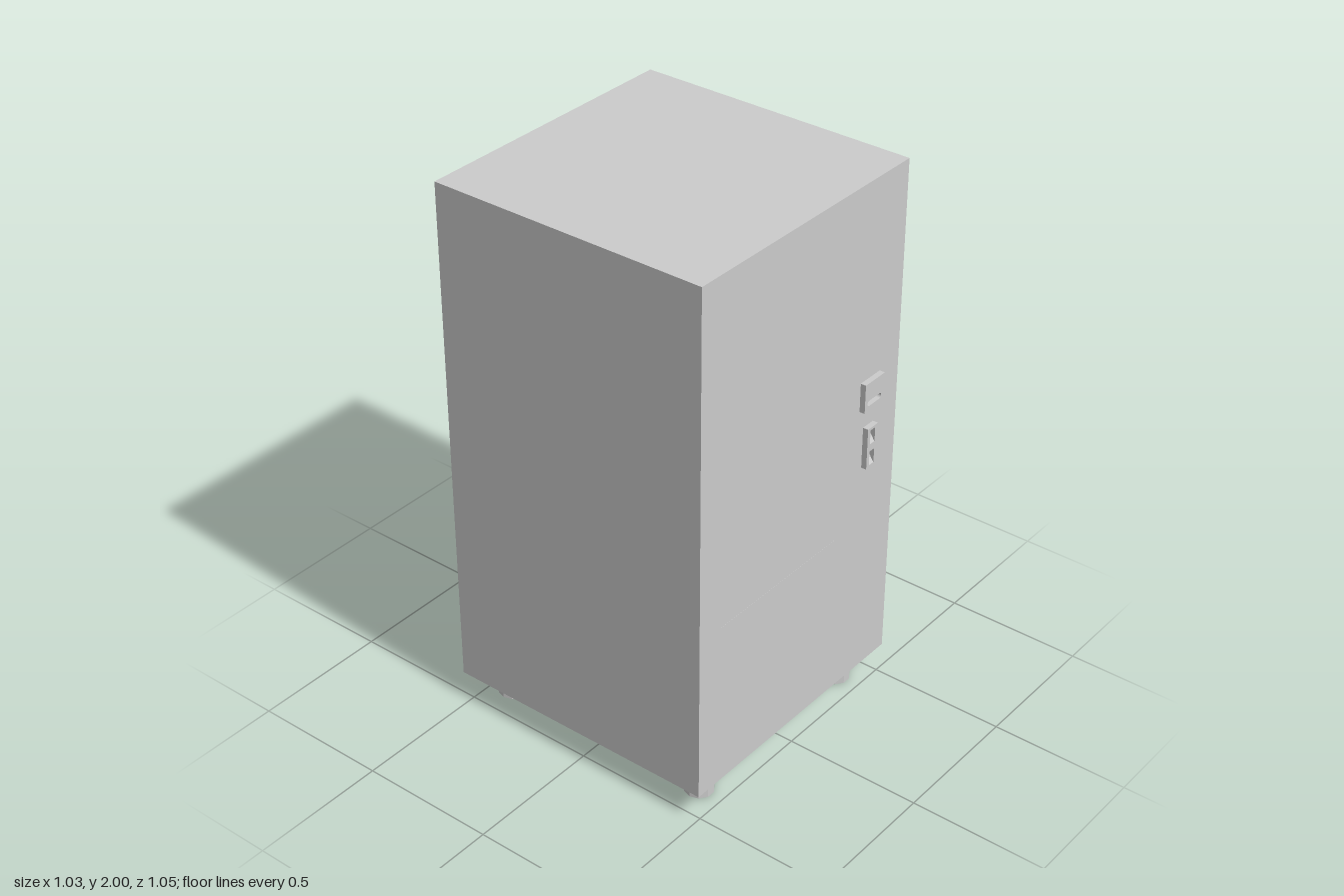
import * as THREE from 'three';

const material = new THREE.MeshStandardMaterial({ color: 0xcccccc, flatShading: true, side: THREE.DoubleSide });
const FRONT = 0.507, PLATE = 0.02;

function add(parent, name, geometry, x, y, z) {
  const mesh = new THREE.Mesh(geometry, material);
  mesh.name = name;
  mesh.position.set(x, y, z);
  parent.add(mesh);
  return mesh;
}

function rectangle(Type, w, h, y = 0) {
  return new Type([[-w, -h], [w, -h], [w, h], [-w, h]].map(([a, b]) => new THREE.Vector2(a / 2, y + b / 2)));
}

// Long slot with round ends
function roundedSlot(w, h, y) {
  const r = h / 2, c = w / 2 - r;
  const path = new THREE.Path();
  path.absarc(c, y, r, -Math.PI / 2, Math.PI / 2);
  path.absarc(-c, y, r, Math.PI / 2, Math.PI * 1.5);
  path.closePath();
  return path;
}

function plate(w, h, holes) {
  const shape = rectangle(THREE.Shape, w, h);
  shape.holes.push(...holes);
  return new THREE.ExtrudeGeometry(shape, { depth: PLATE, bevelEnabled: false, curveSegments: 6 });
}

export function createModel() {
  const model = new THREE.Group();
  model.name = 'cabinet';

  // Main cabinet
  add(model, 'body', new THREE.BoxGeometry(1.034, 1.893, 1.034), 0, 1.0535, -0.01);

  // Fine seam across the lower front
  add(model, 'frontSeam', new THREE.BoxGeometry(0.61, 0.002, 0.001), -0.105, 0.73, FRONT);

  // Four faceted feet
  for (const x of [-0.384, 0.384]) {
    for (const z of [-0.421, 0.405]) {
      const leg = new THREE.CylinderGeometry(0.052, 0.052, 0.107, 10);
      leg.rotateY(Math.PI / 2);
      add(model, 'leg', leg, x, 0.0535, z);
    }
  }

  // Upper plate with a wide rounded slot
  add(model, 'slotPlate', plate(0.105, 0.107, [roundedSlot(0.076, 0.02, -0.024)]), 0.36, 1.228, FRONT);

  // Lower plate with two windows, each closed by a V-shaped notch
  const panel = new THREE.Group();
  panel.name = 'switchPanel';
  panel.position.set(0.36, 1.024, FRONT);
  model.add(panel);
  const windowY = [0.041, -0.041], w = 0.026, h = 0.054;
  add(panel, 'switchPlate', plate(0.055, 0.155, windowY.map((y) => rectangle(THREE.Path, w, h, y))), 0, 0, 0);
  for (const y of windowY) {
    for (const side of [1, -1]) {
      const slope = new THREE.PlaneGeometry(w, Math.hypot(h / 2, PLATE * 0.9));
      slope.rotateX(side * Math.atan2(PLATE * 0.9, h / 2));
      add(panel, 'switchNotch', slope, 0, y + side * h / 4, PLATE * 0.5);
    }
  }
  return model;
}
